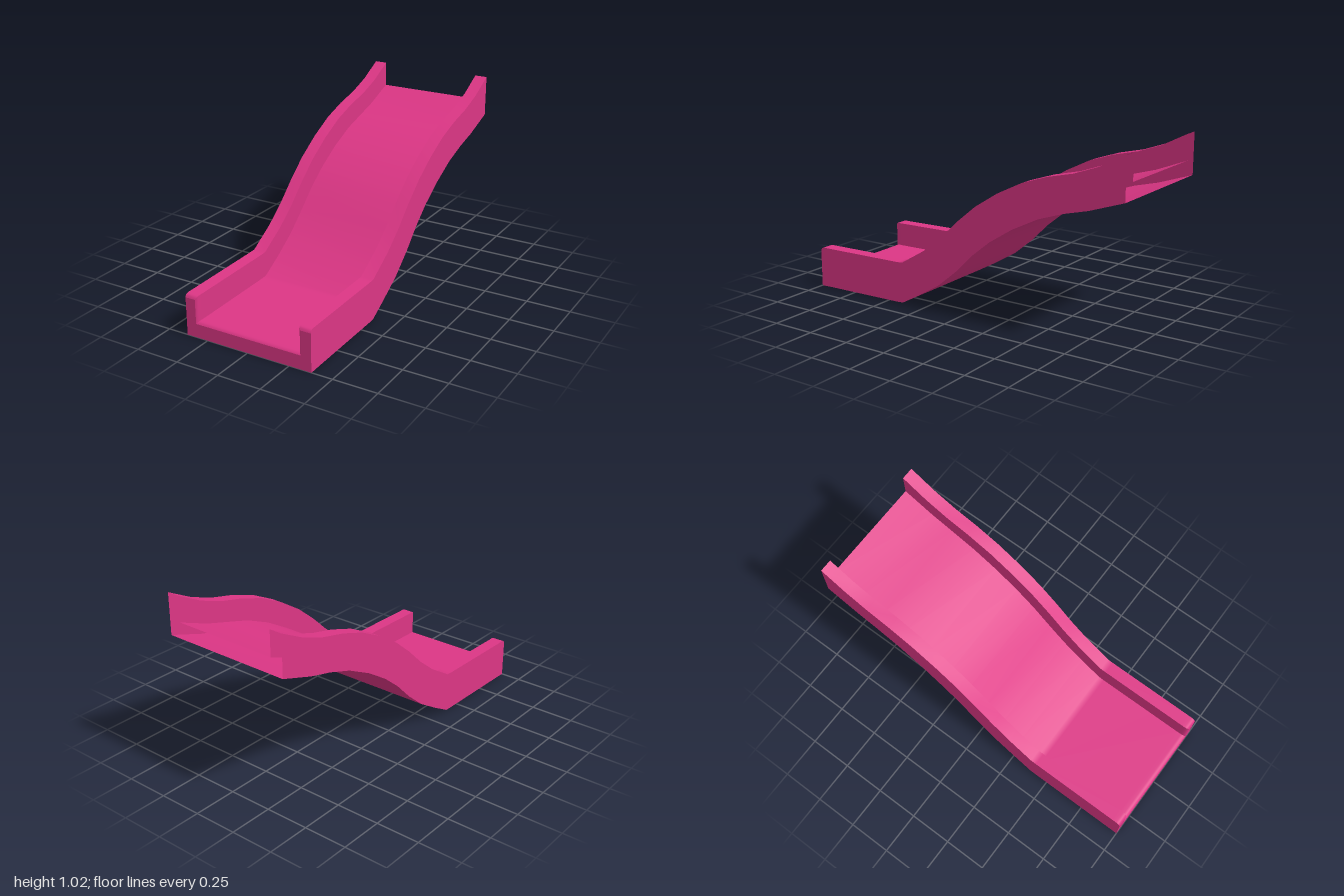
import * as THREE from 'three';

export function createModel() {
  const pink = new THREE.MeshStandardMaterial({ color: 0xdc3685, side: THREE.DoubleSide });
  pink.name = 'slide pink';
  const group = new THREE.Group();
  group.name = 'slide';
  const add = (geometry, name) => {
    const mesh = new THREE.Mesh(geometry, pink);
    mesh.name = name;
    group.add(mesh);
  };

  const W = 0.38, INNER = 0.307, FLOOR = 0.385;

  // Stations from front to back: bottom z, bottom y, rim z, rim y
  const path = [
    [0.95, 0.001, 0.95, 0.236], [0.42, 0.009, 0.42, 0.244],
    [0.385, 0.011, 0.385, 0.246], [0.27, 0.075, 0.23, 0.34], [0.13, 0.16, 0.11, 0.435],
    [0.01, 0.26, 0, 0.54], [-0.1, 0.37, -0.12, 0.64], [-0.21, 0.46, -0.26, 0.73],
    [-0.35, 0.55, -0.41, 0.805], [-0.51, 0.63, -0.56, 0.855], [-0.66, 0.68, -0.71, 0.89],
    [-0.8, 0.715, -0.85, 0.94], [-1, 0.782, -1, 1.017],
  ];

  // U-shaped cross-section, clockwise from the lower left corner
  const section = (bz, by, tz, ty, fz, fy, xi) => [
    [-W, by, bz], [-W, ty, tz], [-xi, ty, tz], [-xi, fy, fz],
    [xi, fy, fz], [xi, ty, tz], [W, ty, tz], [W, by, bz],
  ];
  const lip = (z, ty, fy, xi) => section(z, 0, z, ty, z, fy, xi);

  // Rounded front lip followed by the run of the chute
  const rings = [
    lip(1, 0.216, 0.078, 0.32), lip(0.995, 0.228, 0.085, 0.313),
    lip(0.986, 0.234, 0.09, 0.309), lip(0.973, 0.236, 0.092, 0.307),
    ...path.map(([bz, by, tz, ty]) => section(bz, by, tz, ty,
      bz + (tz - bz) * FLOOR, by + (ty - by) * FLOOR, INNER)),
  ];

  // One smooth strip for each side of the section; the upper end stays open
  const names = ['rightOuterWall', 'rightRim', 'rightInnerWall', 'slidingSurface',
    'leftInnerWall', 'leftRim', 'leftOuterWall', 'underside'];
  names.forEach((name, j) => {
    const positions = [], index = [];
    rings.forEach((ring, i) => {
      positions.push(...ring[j], ...ring[(j + 1) % 8]);
      if (i === 0) return;
      const a = 2 * (i - 1);
      index.push(a, a + 1, a + 2, a + 1, a + 3, a + 2);
    });
    const geometry = new THREE.BufferGeometry();
    geometry.setAttribute('position', new THREE.Float32BufferAttribute(positions, 3));
    geometry.setIndex(index);
    geometry.computeVertexNormals();
    add(geometry, name);
  });

  // Flat front end
  const outline = rings[0].map(([x, y]) => new THREE.Vector2(x, y));
  add(new THREE.ShapeGeometry(new THREE.Shape(outline)).translate(0, 0, 1), 'frontEnd');

  return group;
}
